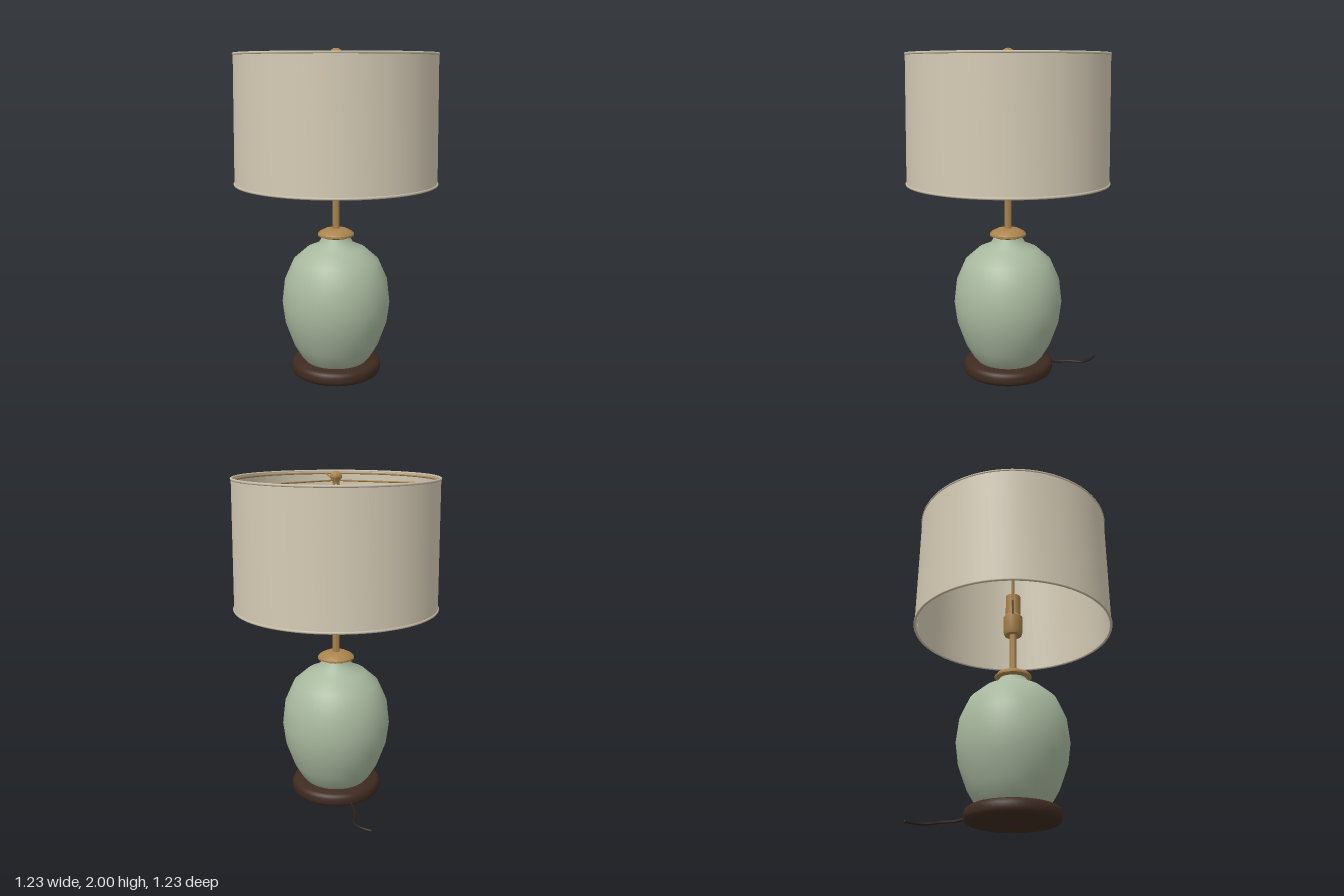
import * as THREE from 'three';
import { toCreasedNormals } from 'three/addons/utils/BufferGeometryUtils.js';

const paint = (name, color) => {
  const m = new THREE.MeshStandardMaterial({ color });
  m.name = name;
  return m;
};

export function createModel() {
  const linen = paint('linen', 0xd4cab4);
  const trim = paint('trim', 0xc6bca6);
  const celadon = paint('celadon', 0xa8b89e);
  const brass = paint('brass', 0xa9834c);
  const wood = paint('darkWood', 0x3e2a20);
  const rubber = paint('cordBrown', 0x2c2019);

  const lamp = new THREE.Group();
  lamp.name = 'tableLamp';

  const add = (name, geometry, material, parent = lamp) => {
    const mesh = new THREE.Mesh(geometry, material);
    mesh.name = name;
    parent.add(mesh);
    return mesh;
  };
  // Turned part from [radius, height] pairs, listed bottom to top
  const turned = (name, points, material, segments = 48, crease = 0.7) =>
    add(name, toCreasedNormals(
      new THREE.LatheGeometry(points.map(([r, y]) => new THREE.Vector2(r, y)), segments), crease), material);
  // Straight rod between two points
  const rod = (name, a, b, radius, material, parent = lamp) => {
    const from = new THREE.Vector3(...a), dir = new THREE.Vector3(...b).sub(from);
    const mesh = add(name, new THREE.CylinderGeometry(radius, radius, dir.length(), 8), material, parent);
    mesh.position.copy(from).addScaledVector(dir, 0.5);
    mesh.quaternion.setFromUnitVectors(new THREE.Vector3(0, 1, 0), dir.normalize());
    return mesh;
  };
  const ring = (name, radius, tube, y, material) => {
    const mesh = add(name, new THREE.TorusGeometry(radius, tube, 8, 72), material);
    mesh.rotation.x = Math.PI / 2;
    mesh.position.y = y;
  };

  // Wooden foot and ceramic body
  turned('foot', [[0, 0], [0.258, 0], [0.272, 0.01], [0.278, 0.025], [0.278, 0.055],
    [0.271, 0.072], [0.255, 0.082], [0, 0.082]], wood);
  turned('body', [[0, 0.075], [0.19, 0.078], [0.218, 0.11], [0.265, 0.19], [0.317, 0.335], [0.333, 0.46],
    [0.317, 0.6], [0.262, 0.725], [0.18, 0.797], [0.108, 0.828], [0.085, 0.865], [0.08, 0.88]], celadon, 48, 1.2);

  // Brass cap, stem and socket
  turned('neckCap', [[0, 0.866], [0.085, 0.866], [0.111, 0.876], [0.111, 0.887], [0.1, 0.9],
    [0.068, 0.917], [0.05, 0.921], [0, 0.921]], brass);
  turned('stem', [[0.022, 0.91], [0.022, 1.175]], brass, 20);
  turned('socket', [[0, 1.167], [0.052, 1.167], [0.06, 1.19], [0.06, 1.29], [0.046, 1.305],
    [0.046, 1.44], [0.038, 1.44], [0.038, 1.32], [0, 1.32]], brass, 32);
  rod('switchStem', [0.05, 1.235, 0], [0.08, 1.235, 0], 0.009, brass);
  rod('switchKnob', [0.073, 1.235, 0], [0.094, 1.235, 0], 0.017, brass);

  // Harp: a bent wire loop rising from the socket to the finial
  const harp = new THREE.Group();
  harp.name = 'harp';
  lamp.add(harp);
  for (const s of [-1, 1]) {
    const path = [[0.04, 1.29], [0.185, 1.315], [0.2, 1.45], [0.2, 1.68], [0.1, 1.82], [0, 1.945]];
    path.slice(1).forEach(([x, y], i) => {
      const [px, py] = path[i];
      rod('harpWire', [s * px, py, 0], [s * x, y, 0], 0.0065, brass, harp);
      add('harpBend', new THREE.SphereGeometry(0.0065, 8, 6), brass, harp).position.set(s * x, y, 0);
    });
  }

  // Finial on top of the spider
  turned('finial', [[0, 1.932], [0.02, 1.932], [0.022, 1.948], [0.033, 1.962], [0.035, 1.974],
    [0.028, 1.99], [0.015, 1.998], [0, 2]], brass, 24, 1);

  // Three spider arms and the ring that carries the shade
  for (const [x, z] of [[-0.435, -0.4], [0.565, -0.178], [-0.132, 0.576]])
    rod('spiderArm', [0, 1.95, 0], [x, 1.95, z], 0.005, brass);
  ring('spiderRing', 0.592, 0.006, 1.95, brass);

  // Drum shade with a thin wall, rolled rims and a back seam
  turned('shade', [[0.6, 1.205], [0.61, 1.205], [0.601, 1.965], [0.591, 1.965], [0.6, 1.205]], linen, 72);
  ring('topRim', 0.598, 0.008, 1.964, trim);
  ring('bottomRim', 0.608, 0.008, 1.206, trim);
  add('shadeSeam', new THREE.BoxGeometry(0.012, 0.74, 0.008), linen).position.set(0, 1.585, -0.602);

  // Power cord trailing out of the back of the foot
  const cord = new THREE.CatmullRomCurve3([[0, 0.035, -0.25], [0, 0.014, -0.31], [0.02, 0.012, -0.4],
    [0.064, 0.012, -0.48], [0.045, 0.012, -0.55], [0, 0.012, -0.602]].map(p => new THREE.Vector3(...p)));
  add('cord', new THREE.TubeGeometry(cord, 10, 0.008, 8), rubber);
  const end = add('cordEnd', new THREE.SphereGeometry(0.008, 8, 6), rubber);
  end.position.set(0, 0.012, -0.602);

  return lamp;
}
